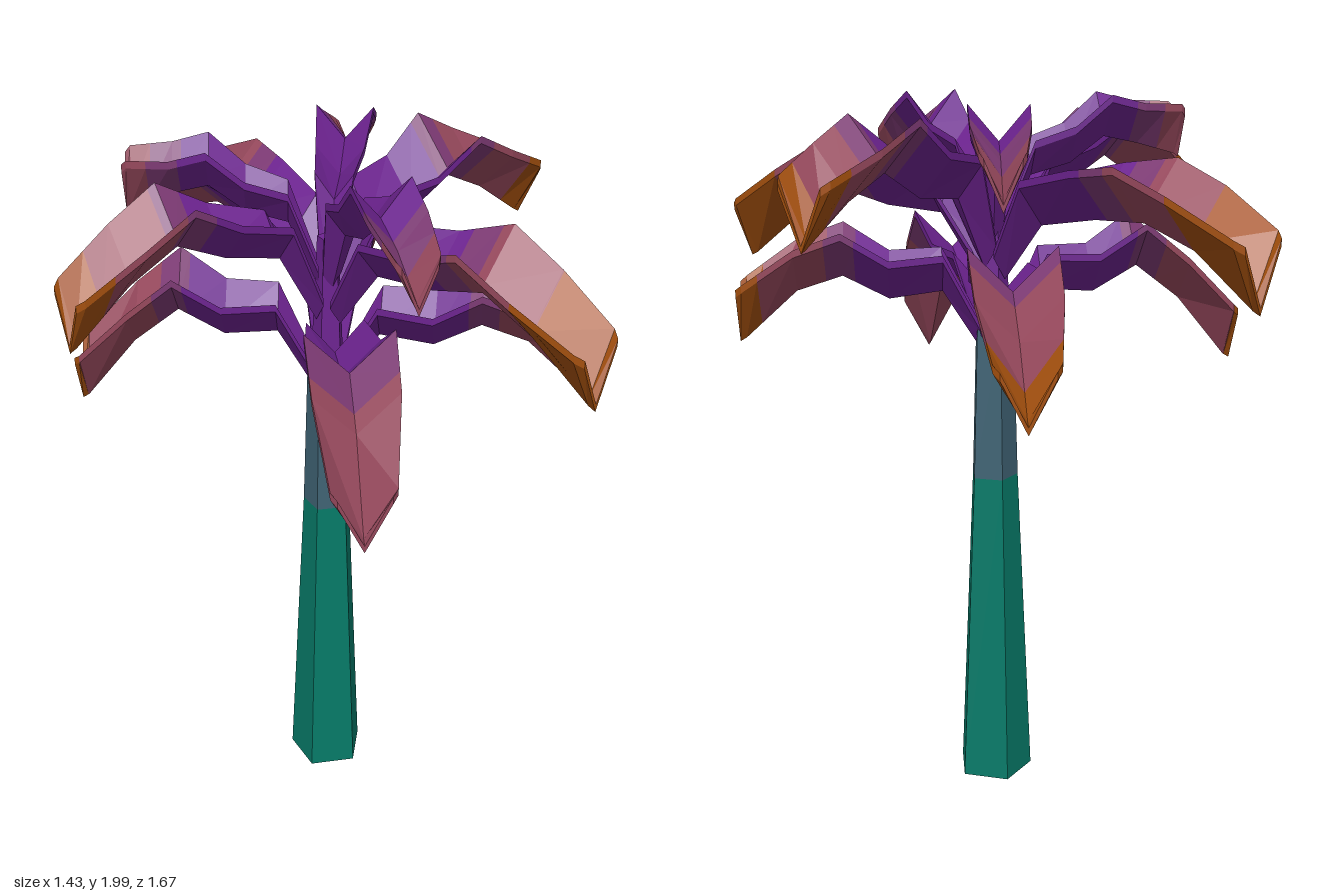
import * as THREE from 'three';

const flat = (name, color) => {
  const m = new THREE.MeshStandardMaterial({ color });
  m.name = name;
  m.flatShading = true;
  return m;
};

// Frond colours run outward from the crown; each ends at a fixed radius.
const INNER_BANDS = [0.38, 0.46];
const STATIONS = [0.05, 0.2, 0.41, 0.59, 0.77, 0.975, 1];
const HALF_WIDTH = [0.045, 0.09, 0.115, 0.135, 0.13, 0.098, 0.08];
const FOLD = [0.06, 0.1, 0.11, 0.125, 0.12, 0.155, 0.15];
const THICKNESS = 0.02;

// A folded leaf along +z: V cross-section with a low midrib and raised rims.
function frondGeometry(length, width, heights, tipStart) {
  const foldScale = 0.35 + 0.65 * width;
  const bands = [...INNER_BANDS, tipStart, Infinity];
  const rows = STATIONS.map((t, i) => [t * length, heights[i], HALF_WIDTH[i] * width, FOLD[i] * foldScale]);
  // Add a section wherever the colour changes
  for (const r of bands) {
    const k = rows.findIndex((row) => row[0] > r);
    if (k < 1) continue;
    const a = rows[k - 1], b = rows[k], f = (r - a[0]) / (b[0] - a[0]);
    rows.splice(k, 0, a.map((v, i) => v + (b[i] - v) * f));
  }
  const rings = rows.map(([z, y, w, h]) => [
    [-w, y + h, z], [0, y, z], [w, y + h, z],
    [w, y + h - THICKNESS, z], [0, y - THICKNESS, z], [-w, y + h - THICKNESS, z],
  ]);
  const pos = [];
  const geo = new THREE.BufferGeometry();
  const quad = (a, b, c, d) => pos.push(...a, ...b, ...c, ...a, ...c, ...d);
  const cap = (r, end) => {
    for (const q of [[0, 1, 4, 5], [1, 2, 3, 4]]) {
      const c = q.map((i) => r[i]);
      quad(...(end ? c.reverse() : c));
    }
  };
  for (let k = 0; k < rings.length - 1; k++) {
    const start = pos.length / 3, a = rings[k], b = rings[k + 1];
    if (k === 0) cap(a, false);
    for (let i = 0; i < 6; i++) {
      const j = (i + 1) % 6;
      quad(a[i], b[i], b[j], a[j]);
    }
    if (k === rings.length - 2) cap(b, true);
    const mid = (rows[k][0] + rows[k + 1][0]) / 2;
    geo.addGroup(start, pos.length / 3 - start, bands.findIndex((r) => mid < r));
  }
  geo.setAttribute('position', new THREE.Float32BufferAttribute(pos, 3));
  geo.computeVertexNormals();
  return geo;
}

export function createModel() {
  const teal = flat('teal bark', 0x067a68);
  const slate = flat('slate bark', 0x3f6374);
  const purple = flat('purple leaf', 0x6d2390);
  const mauve = flat('mauve leaf', 0x7d3a74);
  const pink = flat('dusky pink leaf', 0x96485c);
  const orange = flat('burnt orange tip', 0xa4500e);
  const leafColours = [purple, mauve, pink, orange];

  const tree = new THREE.Group();
  tree.name = 'palmTree';
  const CX = 0.025;

  // Five-sided tapering trunk and the stem inside the crown
  const trunk = [
    ['trunkLower', 0, 0.93, 0.113, 0.07, teal],
    ['trunkUpper', 0.93, 1.36, 0.07, 0.057, slate],
    ['trunkCollar', 1.36, 1.42, 0.057, 0.045, mauve],
    ['crownStem', 1.42, 1.74, 0.045, 0.03, purple],
  ];
  for (const [name, y0, y1, r0, r1, material] of trunk) {
    const mesh = new THREE.Mesh(new THREE.CylinderGeometry(r1, r0, y1 - y0, 5), material);
    mesh.name = name;
    mesh.position.set(CX, (y0 + y1) / 2, 0);
    tree.add(mesh);
  }

  // Fronds: name, tip x, tip z, width, midrib heights from base to tip, radius where the tip colour starts
  const fronds = [
    ['longFrondBack', 0.12, -0.83, 1.1, [1.52, 1.68, 1.71, 1.715, 1.66, 1.53, 1.52], 0.64],
    ['longFrondFront', 0.085, 0.825, 0.95, [1.52, 1.69, 1.7, 1.735, 1.66, 1.53, 1.52], 0.64],
    ['longFrondRight', -0.695, -0.19, 0.82, [1.53, 1.73, 1.765, 1.825, 1.75, 1.62, 1.61], 0.65],
    ['longFrondLeft', 0.71, 0.11, 0.95, [1.55, 1.75, 1.765, 1.84, 1.78, 1.68, 1.67], 0.62],
    ['lowFrondBackLeft', 0.575, -0.45, 0.85, [1.31, 1.475, 1.465, 1.54, 1.44, 1.28, 1.27], 0.64],
    ['lowFrondFrontLeft', 0.435, 0.57, 0.85, [1.32, 1.485, 1.465, 1.53, 1.49, 1.36, 1.35], 0.64],
    ['lowFrondBackRight', -0.43, -0.515, 0.85, [1.31, 1.485, 1.475, 1.545, 1.45, 1.28, 1.27], 0.672],
    ['lowFrondFrontRight', -0.38, 0.505, 0.85, [1.31, 1.465, 1.46, 1.53, 1.42, 1.2, 1.19], 0.7],
    ['topFrondBackLeft', 0.465, -0.31, 0.58, [1.62, 1.8, 1.83, 1.9, 1.86, 1.78, 1.77], 0.7],
    ['topFrondBackRight', -0.34, -0.375, 0.62, [1.62, 1.8, 1.83, 1.9, 1.88, 1.85, 1.84], 0.7],
    ['topFrondFrontRight', -0.18, 0.485, 0.6, [1.62, 1.8, 1.83, 1.9, 1.85, 1.76, 1.75], 0.7],
  ];
  for (const [name, x, z, width, heights, tipStart] of fronds) {
    const geometry = frondGeometry(Math.hypot(x - CX, z), width, heights, tipStart);
    const mesh = new THREE.Mesh(geometry, leafColours);
    mesh.name = name;
    mesh.position.x = CX;
    mesh.rotation.y = Math.atan2(x - CX, z);
    tree.add(mesh);
  }
  return tree;
}
